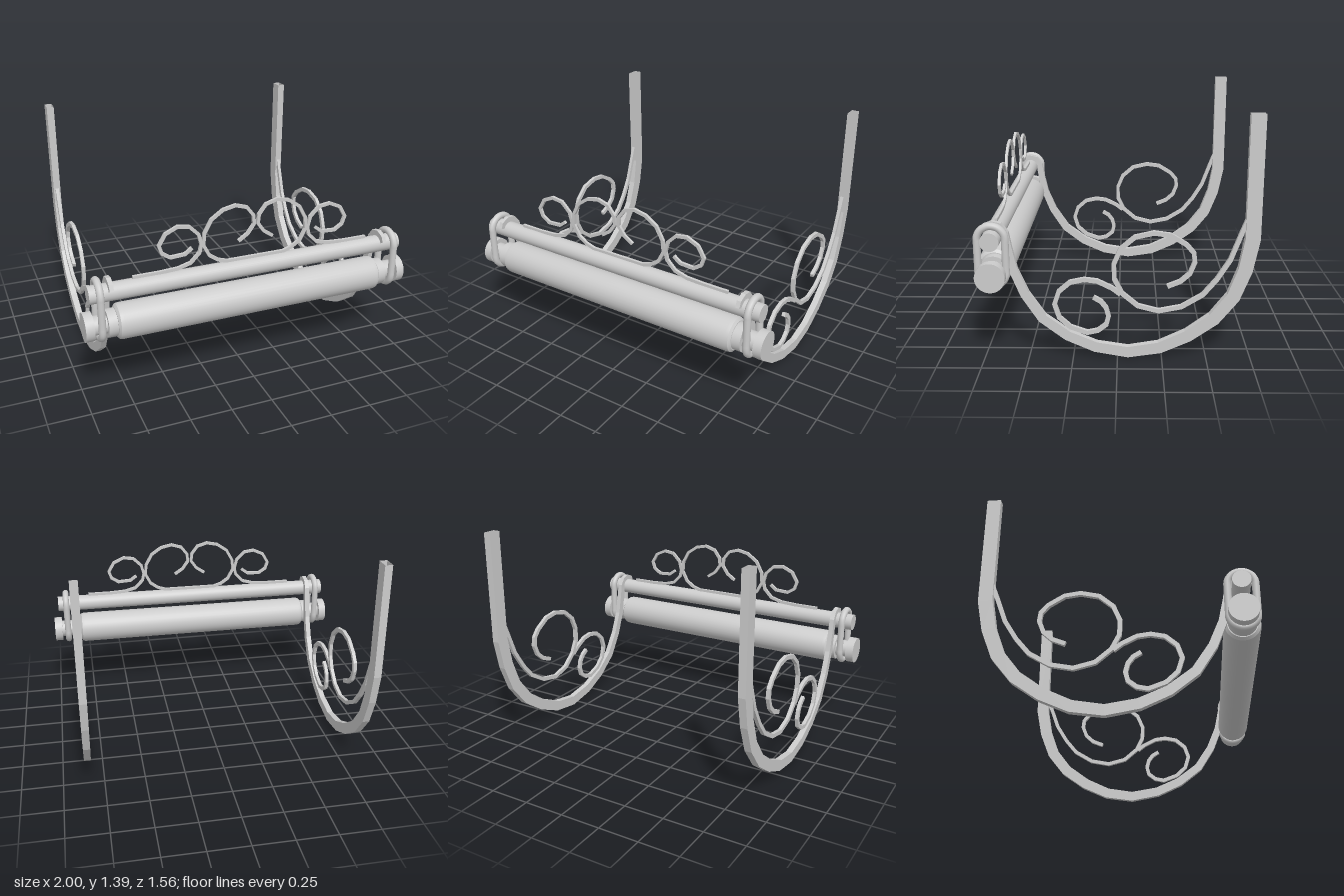
import * as THREE from 'three';
import { toCreasedNormals } from 'three/addons/utils/BufferGeometryUtils.js';

const smooth = new THREE.MeshStandardMaterial({ color: 0xcccccc });
const faceted = new THREE.MeshStandardMaterial({ color: 0xcccccc, flatShading: true, side: THREE.DoubleSide });

// Rectangular bar swept along a path in the xy plane with mitred joints.
// width(t) is measured in the plane, depth(t) along z.
function sweepBar(path, width, depth, capStart = true) {
  const pts = path.map(([x, y]) => new THREE.Vector2(x, y));
  const n = pts.length, pos = [], idx = [];
  pts.forEach((p, i) => {
    const a = p.clone().sub(pts[Math.max(i - 1, 0)]).normalize();
    const b = pts[Math.min(i + 1, n - 1)].clone().sub(p).normalize();
    const dir = a.clone().add(b).normalize();
    const miter = i > 0 && i < n - 1 ? 1 / Math.max(0.6, dir.dot(b)) : 1;
    const t = i / (n - 1), w = width(t) / 2 * miter, d = depth(t) / 2;
    const nx = -dir.y * w, ny = dir.x * w;
    pos.push(p.x + nx, p.y + ny, d, p.x - nx, p.y - ny, d,
      p.x - nx, p.y - ny, -d, p.x + nx, p.y + ny, -d);
  });
  for (let i = 0; i < n - 1; i++) {
    for (let k = 0; k < 4; k++) {
      const a = i * 4 + k, b = i * 4 + (k + 1) % 4;
      idx.push(a, b, b + 4, a, b + 4, a + 4);
    }
  }
  const e = (n - 1) * 4;
  if (capStart) idx.push(0, 2, 1, 0, 3, 2);
  idx.push(e, e + 1, e + 2, e, e + 2, e + 3);
  const g = new THREE.BufferGeometry();
  g.setAttribute('position', new THREE.Float32BufferAttribute(pos, 3));
  g.setIndex(idx);
  const flat = g.toNonIndexed();
  flat.computeVertexNormals();
  return flat;
}

function add(parent, name, geometry, material) {
  const mesh = new THREE.Mesh(geometry, material);
  mesh.name = name;
  parent.add(mesh);
  return mesh;
}

// Turned part lying along x; profile holds [radius, x] for the +x half
function turned(half) {
  const pts = [...half.map(([r, x]) => [r, -x]).reverse(), ...half].map(([r, x]) => new THREE.Vector2(r, x));
  return toCreasedNormals(new THREE.LatheGeometry(pts, 32).rotateZ(-Math.PI / 2), 0.6);
}

// Side arm paths, as [z, y]
const hookPath = [
  [-0.737, 1.4], [-0.737, 0.715], [-0.703, 0.535], [-0.642, 0.375], [-0.538, 0.243], [-0.395, 0.14],
  [-0.237, 0.067], [-0.059, 0.039], [0.122, 0.069], [0.281, 0.138], [0.421, 0.243], [0.516, 0.387],
  [0.575, 0.53], [0.602, 0.66], [0.615, 0.74], [0.645, 0.782], [0.685, 0.792], [0.725, 0.778], [0.74, 0.75],
];
const largeScroll = [
  [-0.71, 0.83], [-0.675, 0.74], [-0.62, 0.59], [-0.55, 0.476], [-0.474, 0.384], [-0.356, 0.312],
  [-0.23, 0.287], [-0.113, 0.317], [-0.025, 0.392], [0.017, 0.476], [0.02, 0.564], [-0.017, 0.652],
  [-0.096, 0.72], [-0.2, 0.744], [-0.29, 0.732], [-0.38, 0.677], [-0.42, 0.63], [-0.426, 0.577],
  [-0.4, 0.51], [-0.348, 0.463], [-0.277, 0.434],
];
const smallScroll = [
  [-0.016, 0.386], [0.03, 0.422], [0.113, 0.463], [0.185, 0.472], [0.264, 0.455], [0.327, 0.4],
  [0.352, 0.325], [0.327, 0.245], [0.264, 0.187], [0.17, 0.153], [0.11, 0.166], [0.063, 0.203],
  [0.05, 0.254], [0.063, 0.304], [0.092, 0.342], [0.134, 0.367],
];

// Crest paths for the +x half, as [x, y]
const crestLarge = [
  [0, 0.783], [0.175, 0.783], [0.229, 0.8], [0.282, 0.837], [0.318, 0.906], [0.312, 0.976], [0.271, 1.051],
  [0.202, 1.099], [0.127, 1.115], [0.058, 1.094], [0.017, 1.04], [0.012, 0.987], [0.05, 0.933], [0.106, 0.895],
];
const crestSmall = [
  [0.73, 0.783], [0.58, 0.783], [0.469, 0.789], [0.394, 0.81], [0.341, 0.864], [0.33, 0.912], [0.346, 0.976],
  [0.4, 1.03], [0.469, 1.04], [0.539, 1.008], [0.576, 0.944], [0.56, 0.896], [0.512, 0.864], [0.427, 0.869],
  [0.384, 0.901],
];

export function createModel() {
  const model = new THREE.Group();
  const barZ = 0.682;

  // Roller with grooved ends, and the rod above it
  add(model, 'roller', turned([
    [0.103, 0.79], [0.1, 0.808], [0.085, 0.82], [0.08, 0.82], [0.08, 0.872], [0.055, 0.872],
    [0.055, 0.95], [0.083, 0.95], [0.083, 1], [0, 1],
  ]), smooth).position.set(0, 0.533, barZ);
  add(model, 'topRod', turned([[0.052, 0.965], [0, 0.965]]), smooth).position.set(0, 0.724, barZ);

  // Oblong links joining rod and roller
  const linkPoints = [];
  for (let i = 0; i < 24; i++) {
    const a = (i + 0.5) / 24 * Math.PI * 2;
    linkPoints.push(new THREE.Vector3(0, (i < 12 ? 0.723 : 0.533) + 0.077 * Math.sin(a), barZ + 0.077 * Math.cos(a)));
  }
  const linkCurve = new THREE.CurvePath();
  linkPoints.forEach((p, i) => linkCurve.add(new THREE.LineCurve3(p, linkPoints[(i + 1) % 24])));
  const linkGeo = new THREE.TubeGeometry(
    new THREE.CatmullRomCurve3(linkCurve.getSpacedPoints(60).slice(0, -1), true), 72, 0.021, 12, true);

  // Side arms: tapering hook with two scrolls inside
  const hookGeo = sweepBar(hookPath, t => 0.082 - 0.057 * Math.max(0, t - 0.06), t => 0.046 - 0.022 * t, false);
  const scrollWidth = () => 0.025;
  const scrollDepth = () => 0.022;
  const largeGeo = sweepBar(largeScroll, scrollWidth, scrollDepth);
  const smallGeo = sweepBar(smallScroll, scrollWidth, scrollDepth);

  // Crest above the rod
  const crest = new THREE.Group();
  crest.name = 'crest';
  crest.position.set(0.02, 0, 0.678);
  model.add(crest);
  const crestGeos = [crestLarge, crestSmall];

  for (const side of [1, -1]) {
    const label = side > 0 ? 'left' : 'right';
    add(model, label + 'Link', linkGeo, smooth).position.x = side * 0.91;

    const arm = new THREE.Group();
    arm.name = label + 'Arm';
    arm.rotation.y = -Math.PI / 2;
    arm.position.x = side * 0.845;
    add(arm, 'hook', hookGeo, faceted);
    add(arm, 'largeScroll', largeGeo, faceted);
    add(arm, 'smallScroll', smallGeo, faceted);
    model.add(arm);

    crestGeos.forEach((path, i) => add(crest, label + (i ? 'OuterScroll' : 'InnerScroll'),
      sweepBar(path.map(([x, y]) => [side * x, y]), () => 0.019, () => 0.016), faceted));
  }
  return model;
}
